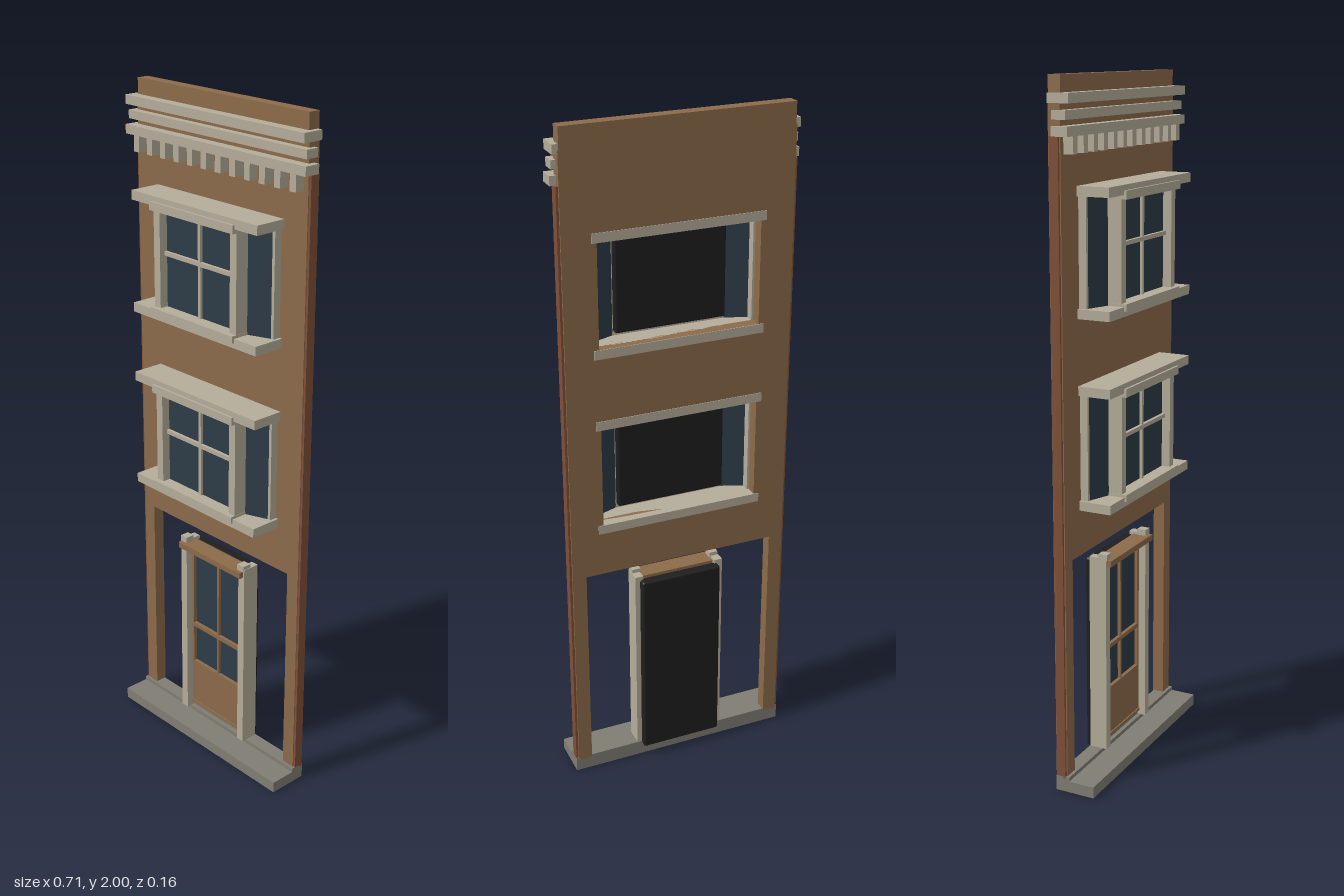
import * as THREE from 'three';
import { RoundedBoxGeometry } from 'three/addons/geometries/RoundedBoxGeometry.js';

const material = (name, color, side = THREE.FrontSide) => {
  const m = new THREE.MeshStandardMaterial({ color, side });
  m.name = name;
  return m;
};

export function createModel() {
  const brown = material('brown wall', 0x8c6b4a);
  const red = material('red brown edge', 0x7f4f38);
  const stone = material('pale stone', 0xb5ad9a);
  const grey = material('grey stone', 0x807d73);
  const glass = material('blue glass', 0x2d3b47, THREE.DoubleSide);
  const black = material('black backing', 0x1e1e1e);

  const root = new THREE.Group();
  root.name = 'townhouseFacade';

  const add = (parent, name, geometry, mat) => {
    const mesh = new THREE.Mesh(geometry, mat);
    mesh.name = name;
    parent.add(mesh);
    return mesh;
  };
  // box given by its limits on each axis
  const box = (parent, name, mat, x0, x1, y0, y1, z0, z1) => {
    const mesh = add(parent, name, new THREE.BoxGeometry(x1 - x0, y1 - y0, z1 - z0), mat);
    mesh.position.set((x0 + x1) / 2, (y0 + y1) / 2, (z0 + z1) / 2);
    return mesh;
  };
  // box reaching equally to both sides
  const bar = (parent, name, mat, w, ...rest) => box(parent, name, mat, -w, w, ...rest);
  const pair = (parent, name, mat, x0, x1, ...rest) => {
    box(parent, name + 'Left', mat, x0, x1, ...rest);
    box(parent, name + 'Right', mat, -x1, -x0, ...rest);
  };
  const rounded = (parent, name, w, y0, y1, z0, z1) => {
    const mesh = add(parent, name, new RoundedBoxGeometry(2 * w, y1 - y0, z1 - z0, 2, 0.007), black);
    mesh.position.set(0, (y0 + y1) / 2, (z0 + z1) / 2);
  };

  // wall with an open ground floor and two window openings
  const floors = [0.848, 1.387];
  const windowHeight = 0.3;
  const outline = [[-0.335, 0.04], [-0.293, 0.04], [-0.293, 0.688], [0.293, 0.688],
    [0.293, 0.04], [0.335, 0.04], [0.335, 1.94], [-0.335, 1.94]];
  const wall = new THREE.Shape(outline.map(([x, y]) => new THREE.Vector2(x, y)));
  for (const y of floors) {
    const hole = [[-0.237, y], [-0.237, y + windowHeight], [0.237, y + windowHeight], [0.237, y]];
    wall.holes.push(new THREE.Path(hole.map(([hx, hy]) => new THREE.Vector2(hx, hy))));
  }
  const wallGeometry = new THREE.ExtrudeGeometry(wall, { depth: 0.036, bevelEnabled: false });
  add(root, 'wall', wallGeometry, brown).position.z = -0.063;
  bar(root, 'parapet', brown, 0.332, 1.94, 2, -0.063, -0.027);
  pair(root, 'wallEdge', red, 0.335, 0.342, 0.04, 1.846, -0.058, -0.03);

  // stepped base
  bar(root, 'frontStep', grey, 0.342, 0, 0.034, -0.06, 0.06);
  bar(root, 'threshold', grey, 0.342, 0.034, 0.046, -0.06, -0.018);

  // cornice bands and the row of brackets below
  const cornice = new THREE.Group();
  cornice.name = 'cornice';
  root.add(cornice);
  bar(cornice, 'topBand', stone, 0.348, 1.929, 1.955, -0.058, 0.005);
  bar(cornice, 'middleBand', stone, 0.348, 1.888, 1.912, -0.045, -0.005);
  bar(cornice, 'lowerBand', stone, 0.353, 1.846, 1.872, -0.045, 0.003);
  for (let i = 0; i < 12; i++) {
    const x = (i - 5.5) * 0.056;
    box(cornice, 'bracket', stone, x - 0.011, x + 0.011, 1.8, 1.846, -0.03, 0.002);
  }

  // projecting windows with slanted side panes
  for (const y of floors) {
    const bay = new THREE.Group();
    bay.name = 'bayWindow';
    bay.position.y = y;
    root.add(bay);
    const top = windowHeight;
    bar(bay, 'sill', stone, 0.252, -0.027, 0, -0.065, 0.07);
    bar(bay, 'lintel', stone, 0.252, top, top + 0.027, -0.065, 0.07);
    bar(bay, 'sillLip', stone, 0.168, -0.012, 0.008, 0.02, 0.077);
    bar(bay, 'lintelLip', stone, 0.168, top - 0.012, top + 0.012, 0.02, 0.077);
    pair(bay, 'frontPost', stone, 0.142, 0.167, 0, top, 0.02, 0.062);
    pair(bay, 'wallPost', stone, 0.231, 0.243, 0, top, -0.029, -0.004);
    bar(bay, 'frontGlass', glass, 0.143, 0.005, top - 0.005, 0.03, 0.036);
    bar(bay, 'middleRail', stone, 0.143, 0.158, 0.17, 0.034, 0.046);
    bar(bay, 'centreBar', stone, 0.005, 0.008, top - 0.012, 0.034, 0.044);
    rounded(bay, 'backing', 0.165, 0.01, top - 0.01, 0.002, 0.028);
    for (const s of [1, -1]) {
      const pane = add(bay, 'sidePane', new THREE.PlaneGeometry(Math.hypot(0.07, 0.026), top), glass);
      pane.position.set(s * 0.201, top / 2, 0.008);
      pane.rotation.y = s * Math.atan2(0.026, 0.07);
    }
  }

  // glazed door with posts and header
  const door = new THREE.Group();
  door.name = 'door';
  root.add(door);
  pair(door, 'doorPost', stone, 0.115, 0.14, 0.046, 0.645, -0.058, -0.004);
  pair(door, 'postCap', stone, 0.112, 0.138, 0.638, 0.656, -0.03, -0.002);
  bar(door, 'header', brown, 0.135, 0.62, 0.638, -0.045, 0.01);
  bar(door, 'lowerPanel', brown, 0.115, 0.068, 0.215, -0.05, -0.026);
  bar(door, 'kickPlate', grey, 0.115, 0.046, 0.06, -0.05, -0.03);
  bar(door, 'bottomRail', brown, 0.115, 0.06, 0.068, -0.05, -0.022);
  bar(door, 'doorGlass', glass, 0.112, 0.21, 0.62, -0.045, -0.037);
  pair(door, 'stile', brown, 0.107, 0.115, 0.21, 0.62, -0.05, -0.026);
  bar(door, 'doorRail', brown, 0.108, 0.34, 0.353, -0.04, -0.026);
  bar(door, 'doorBar', brown, 0.004, 0.215, 0.62, -0.04, -0.028);
  rounded(door, 'doorBacking', 0.125, 0.036, 0.634, -0.08, -0.048);

  return root;
}
